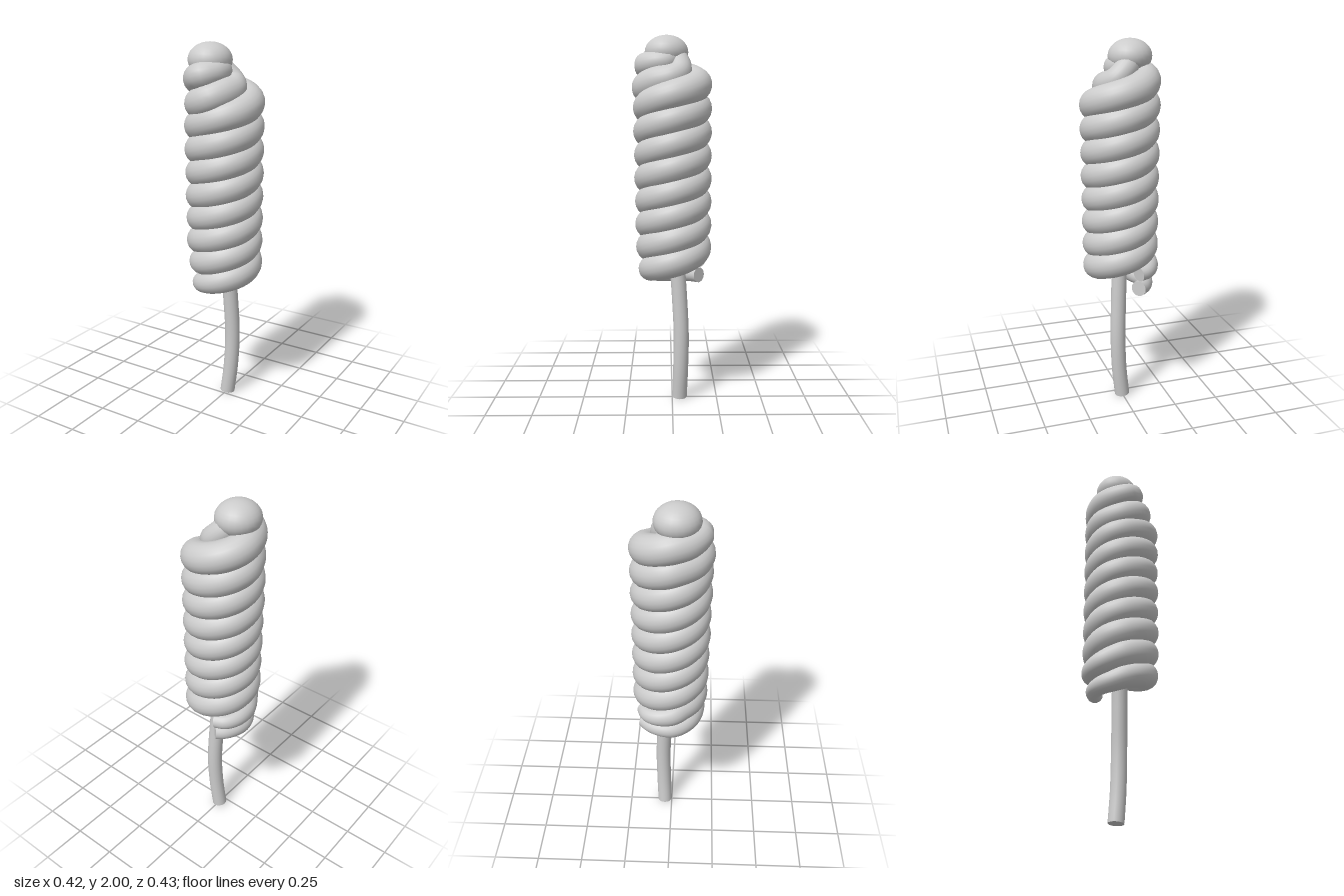
import * as THREE from 'three';

const { smoothstep } = THREE.MathUtils;
const material = new THREE.MeshStandardMaterial({ color: 0xcccccc });
const vec = (p) => new THREE.Vector3(...p);

// Round tube along a smooth path; radiusAt(u) sets its thickness from start to end
function taperedTube(name, points, segments, sides, radiusAt) {
  const curve = new THREE.CatmullRomCurve3(points);
  curve.arcLengthDivisions = 1200;
  const geometry = new THREE.TubeGeometry(curve, segments, 1, sides);
  const position = geometry.attributes.position;
  const v = new THREE.Vector3();
  for (let i = 0; i <= segments; i++) {
    const center = curve.getPointAt(i / segments);
    for (let j = 0; j <= sides; j++) {
      const k = i * (sides + 1) + j;
      v.fromBufferAttribute(position, k).sub(center).multiplyScalar(radiusAt(i / segments)).add(center);
      position.setXYZ(k, v.x, v.y, v.z);
    }
  }
  const group = new THREE.Group();
  group.name = name;
  const tube = new THREE.Mesh(geometry, material);
  tube.name = name + 'Tube';
  group.add(tube);

  // Flat discs closing both ends
  for (const u of [0, 1]) {
    const cap = new THREE.Mesh(new THREE.CircleGeometry(radiusAt(u), sides), material);
    cap.name = name + 'End';
    const outward = curve.getTangentAt(u).multiplyScalar(u ? 1 : -1);
    cap.position.copy(curve.getPointAt(u));
    cap.quaternion.setFromUnitVectors(new THREE.Vector3(0, 0, 1), outward);
    group.add(cap);
  }
  return group;
}

// One strand: a loose start, a rising helix that widens slightly, and a tail curling into the tip
function strand(name, frontHeight, start, tail, fullAt) {
  const points = start.map(vec);
  for (let deg = -60; deg <= 1350; deg += 30) {
    const a = THREE.MathUtils.degToRad(deg);
    const t = deg / 1350;
    const radius = 0.126 + 0.006 * t;
    points.push(new THREE.Vector3(
      radius * Math.sin(a),
      frontHeight + (0.25 * deg) / 360,
      radius * Math.cos(a) - 0.008 * (1 - t),
    ));
  }
  points.push(...tail.map(vec));
  return taperedTube(name, points, 320, 20,
    (u) => 0.042 + 0.038 * smoothstep(u, 0, fullAt) - 0.018 * smoothstep(u, 0.92, 0.97));
}

export function createModel() {
  const model = new THREE.Group();
  model.name = 'coiledTwist';

  // Two interleaved strands
  model.add(strand('lowerStrand', 0.74,
    [[-0.06, 0.69, -0.15], [-0.1, 0.688, -0.11], [-0.127, 0.688, -0.05], [-0.13, 0.69, 0.005]],
    [
      [-0.075, 1.7, 0.11], [-0.01, 1.725, 0.135], [0.04, 1.75, 0.085],
      [0.058, 1.77, 0.01], [0.03, 1.8, -0.038], [-0.03, 1.86, -0.03], [-0.065, 1.91, 0.02],
    ], 0.15));
  model.add(strand('upperStrand', 0.865,
    [[-0.06, 0.775, -0.15], [-0.115, 0.78, -0.125], [-0.147, 0.79, -0.065], [-0.143, 0.803, 0.005]],
    [
      [-0.1, 1.82, 0.09], [-0.045, 1.84, 0.138], [-0.005, 1.85, 0.09],
      [-0.005, 1.86, 0.03], [-0.05, 1.895, 0.01],
    ], 0.1));

  // Rounded tip where the strands meet
  const tip = new THREE.Mesh(new THREE.SphereGeometry(1, 24, 16), material);
  tip.name = 'tip';
  tip.scale.set(0.115, 0.09, 0.117);
  tip.position.set(-0.065, 1.91, 0.03);
  model.add(tip);

  // Slightly bowed stick running up into the coil
  const stickPath = [[-0.001, 0.003, -0.041], [0.018, 0.17, -0.047], [0.026, 0.37, -0.05],
    [0.019, 0.6, -0.039], [0.01, 0.8, -0.025], [0, 1.2, 0], [0, 1.6, 0]];
  model.add(taperedTube('stick', stickPath.map(vec), 40, 20, () => 0.042));

  return model;
}
